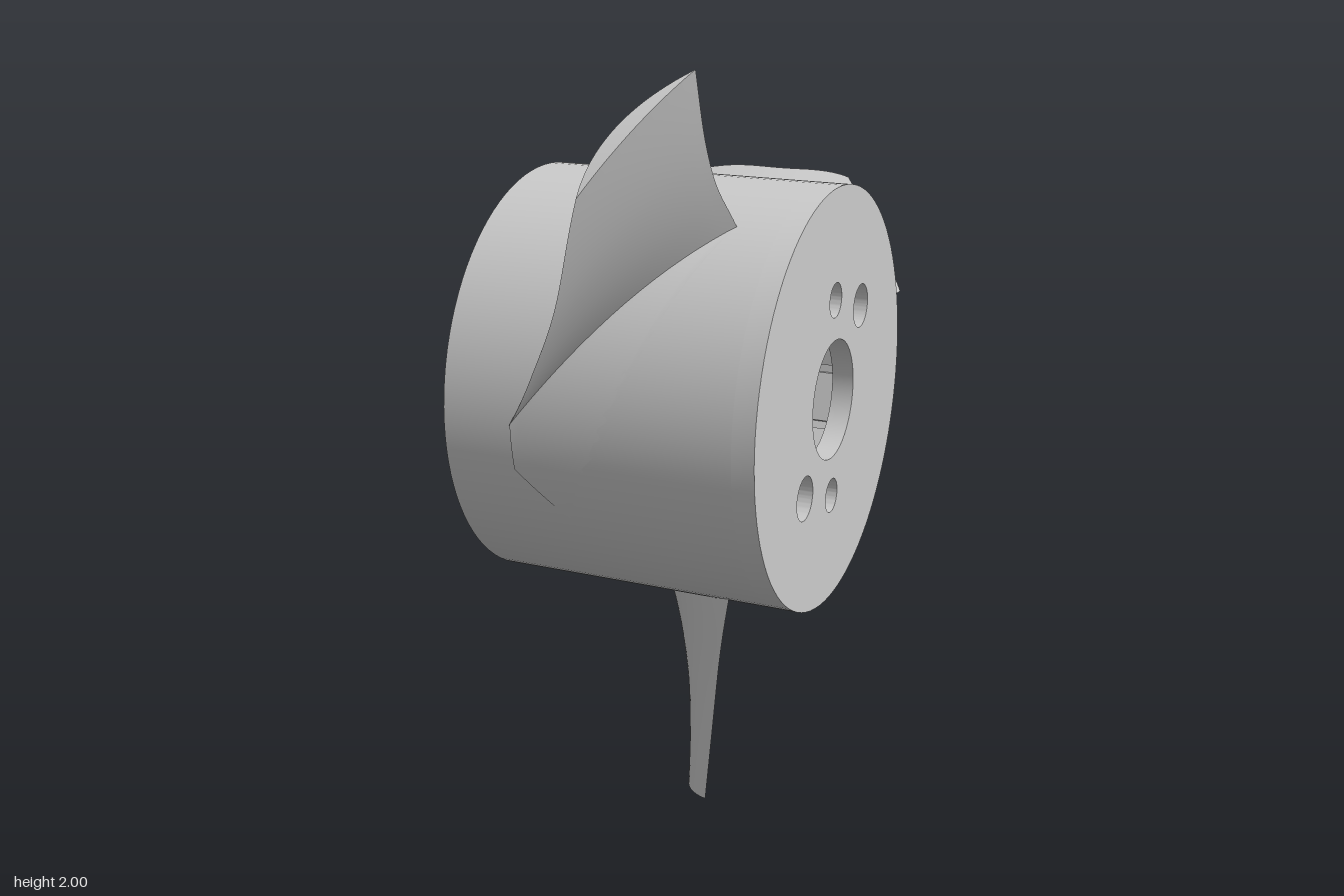
import * as THREE from 'three';
import { toCreasedNormals } from 'three/addons/utils/BufferGeometryUtils.js';

const R = 0.57, BACK = -0.43, FRONT = 0.422, PLATE = 0.06;
const deg = THREE.MathUtils.degToRad;
const material = new THREE.MeshStandardMaterial({ color: 0xcccccc });

function mesh(name, geometry) {
  const m = new THREE.Mesh(geometry, material);
  m.name = name;
  return m;
}

// Surface patch fn(u, v) -> Vector3; its front faces du x dv unless flipped
function grid(fn, nu, nv, flip = false) {
  const pos = [], idx = [];
  for (let j = 0; j <= nv; j++)
    for (let i = 0; i <= nu; i++) pos.push(...fn(i / nu, j / nv).toArray());
  for (let j = 0; j < nv; j++)
    for (let i = 0; i < nu; i++) {
      const a = j * (nu + 1) + i, b = a + 1, c = a + nu + 1, d = c + 1;
      idx.push(...(flip ? [a, c, b, b, c, d] : [a, b, c, b, d, c]));
    }
  const g = new THREE.BufferGeometry();
  g.setAttribute('position', new THREE.Float32BufferAttribute(pos, 3));
  g.setIndex(idx);
  g.computeVertexNormals();
  return g;
}

const disc = () => new THREE.Shape().absarc(0, 0, R, 0, Math.PI * 2);

function extrude(shape, z0, z1) {
  const g = new THREE.ExtrudeGeometry(shape, { depth: z1 - z0, bevelEnabled: false, curveSegments: 48 });
  g.translate(0, 0, z0);
  return toCreasedNormals(g, deg(12));
}

// End plate with shaft hole and four bolt holes
function endPlate() {
  const shape = disc();
  const holes = [[0, 0, 0.162], [0, 0.272, 0.047], [0, -0.272, 0.047], [0.21, 0.208, 0.06], [-0.21, -0.208, 0.06]];
  for (const [x, y, r] of holes) shape.holes.push(new THREE.Path().absarc(x, y, r, 0, Math.PI * 2));
  return mesh('endPlate', extrude(shape, FRONT - PLATE, FRONT));
}

// Sleeve whose bore is lined with flat pads separated by narrow slots
function sleeve() {
  const shape = disc(), n = 20, pts = [];
  for (let i = 0; i < n; i++) {
    const a = (i / n) * Math.PI * 2, half = Math.PI / n * 0.86;
    for (const [r, t] of [[0.55, -half], [0.532, -half], [0.532, half], [0.55, half]])
      pts.push(new THREE.Vector2(r * Math.cos(a + t), r * Math.sin(a + t)));
  }
  shape.holes.push(new THREE.Path(pts));
  return mesh('sleeve', extrude(shape, BACK, FRONT - PLATE));
}

// Blade edges as splines of (angle, radius, axial position), root to tip
const edge = pts => new THREE.CatmullRomCurve3(pts.map(([a, r, z]) => new THREE.Vector3(deg(a), r, z)));
const trailing = edge([[-2.5, 0.56, 0.25], [1, 0.72, 0.243], [2, 0.86, 0.25], [1.7, 1.085, 0.272]]);
const leading = edge([[59.5, 0.56, -0.25], [45, 0.72, -0.105], [33.5, 0.86, 0.005], [22, 1.085, 0.112]]);
const polar = p => new THREE.Vector3(p.y * Math.cos(p.x), p.y * Math.sin(p.x), p.z);

// Point on the blade: t root to tip, s across the chord, k 0 = front face, 1 = bulged back face
function bladePoint(t, s, k) {
  const p = trailing.getPoint(t).lerp(leading.getPoint(t), s);
  p.z -= k * 0.045 * 4 * s * (1 - s);
  return polar(p);
}

// Low raised fillet where the blade's back meets the hub
function filletPoint(u, v) {
  const c = (a, r, z) => new THREE.Vector3(deg(a), r, z);
  const low = c(58, 0.577, -0.235).lerp(c(70, 0.577, -0.23), u);
  const high = c(-2, 0.571, 0.25).lerp(c(86, 0.569, -0.08), u);
  return polar(low.lerp(high, v));
}

function blade() {
  const g = new THREE.Group();
  g.name = 'blade';
  g.add(
    mesh('bladeFront', grid((t, s) => bladePoint(t, s, 0), 24, 20)),
    mesh('bladeBack', grid((t, s) => bladePoint(t, s, 1), 24, 20, true)),
    mesh('bladeTip', grid((s, k) => bladePoint(1, s, 1 - k), 20, 1)),
    mesh('bladeFillet', grid(filletPoint, 16, 16))
  );
  return g;
}

export function createModel() {
  // Rotor is built along z, then turned so its axis lies along x
  const rotor = new THREE.Group();
  rotor.name = 'rotor';
  rotor.add(endPlate(), sleeve());
  for (let i = 0; i < 3; i++) {
    const b = blade();
    b.rotation.z = i * Math.PI * 2 / 3;
    rotor.add(b);
  }
  rotor.position.set(0, 1.08, 0.114);
  rotor.rotation.y = Math.PI / 2;
  const model = new THREE.Group();
  model.name = 'impeller';
  model.add(rotor);
  return model;
}
